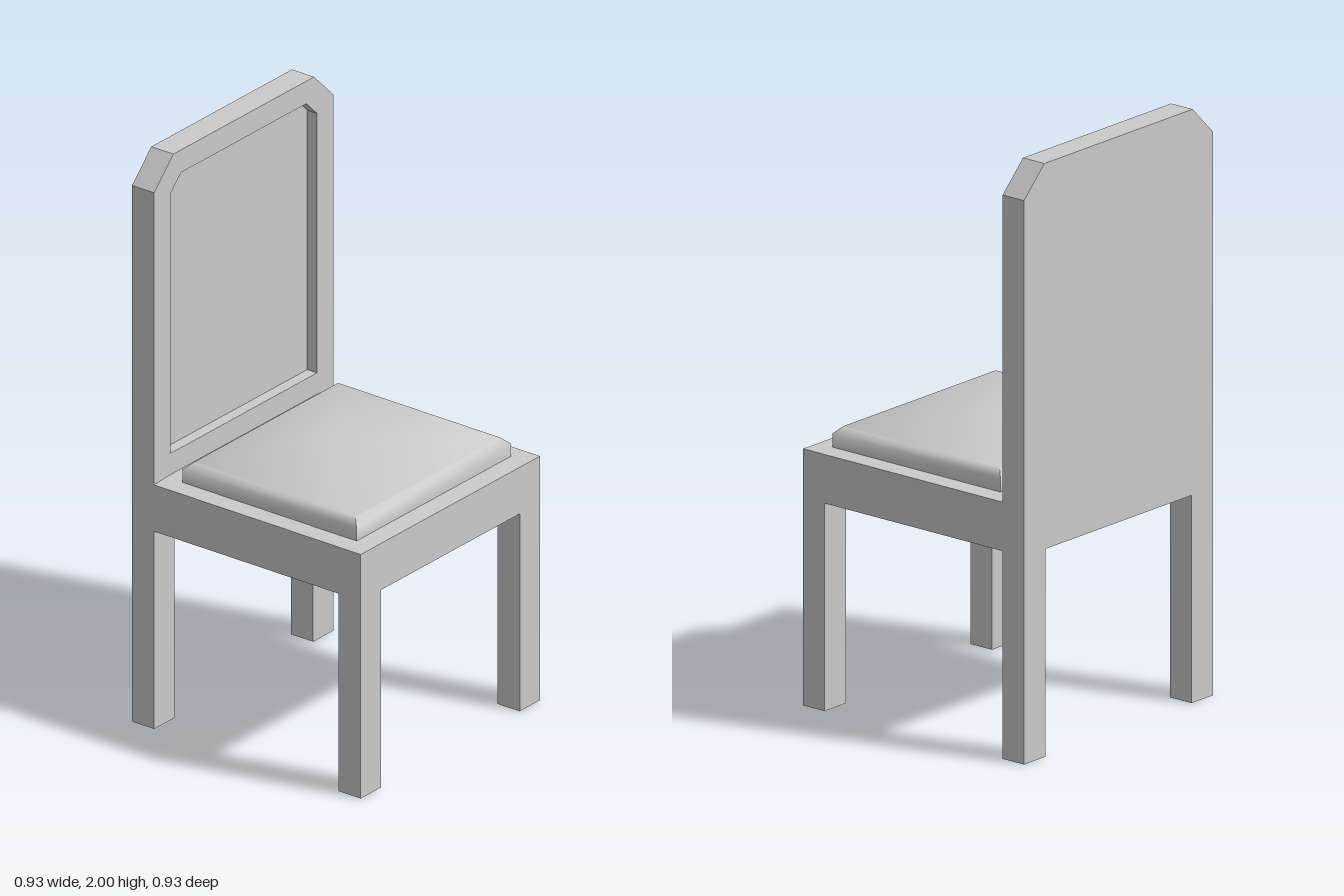
import * as THREE from 'three';
import { toCreasedNormals } from 'three/addons/utils/BufferGeometryUtils.js';

const HALF = 0.465;        // half width and half depth of the chair
const SEAT_BOTTOM = 0.70;
const SEAT_TOP = 0.865;
const BACK_FRONT = -0.375; // front plane of the backrest, which faces +x

const material = new THREE.MeshStandardMaterial({ color: 0xcccccc });

function part(name, geometry, parent) {
  const mesh = new THREE.Mesh(geometry, material);
  mesh.name = name;
  parent.add(mesh);
  return mesh;
}

// Stacked rectangles [y, xMin, xMax, halfDepth], closed below and peaked above.
function peakedBlock(layers, apexY) {
  const points = [];
  const index = [0, 3, 2, 0, 2, 1];
  for (const [y, x0, x1, z] of layers) {
    points.push(x0, y, z, x1, y, z, x1, y, -z, x0, y, -z);
  }
  const apex = layers.length * 4;
  points.push(0, apexY, 0);
  for (let l = 0; l < layers.length; l++) {
    for (let i = 0; i < 4; i++) {
      const a = l * 4 + i;
      const b = l * 4 + ((i + 1) % 4);
      if (l === layers.length - 1) index.push(a, b, apex);
      else index.push(a, b, b + 4, a, b + 4, a + 4);
    }
  }
  const geometry = new THREE.BufferGeometry();
  geometry.setAttribute('position', new THREE.Float32BufferAttribute(points, 3));
  geometry.setIndex(index);
  return toCreasedNormals(geometry, 0.9);
}

// Rectangle with its two upper corners cut off.
function cutCornerPoints(half, bottom, top, cut) {
  return [
    [-half, bottom], [half, bottom], [half, top - cut],
    [half - cut, top], [-half + cut, top], [-half, top - cut],
  ].map(([x, y]) => new THREE.Vector2(x, y));
}

// Extrude a shape drawn in the z-y plane from x0 to x1.
function extrudeAlongX(shape, x0, x1) {
  const geometry = new THREE.ExtrudeGeometry(shape, { depth: x1 - x0, bevelEnabled: false });
  return geometry.rotateY(Math.PI / 2).translate(x0, 0, 0);
}

export function createModel() {
  const chair = new THREE.Group();
  chair.name = 'chair';

  // Four square legs
  const legX = 0.09, legZ = 0.105;
  for (const sx of [-1, 1]) {
    for (const sz of [-1, 1]) {
      const leg = part(sx > 0 ? 'frontLeg' : 'backLeg',
        new THREE.BoxGeometry(legX, SEAT_BOTTOM, legZ), chair);
      leg.position.set(sx * (HALF - legX / 2), SEAT_BOTTOM / 2, sz * (HALF - legZ / 2));
    }
  }

  // Seat slab with a slightly raised top
  part('seat', peakedBlock([
    [SEAT_BOTTOM, -HALF, HALF, HALF],
    [SEAT_TOP, -HALF, HALF, HALF],
  ], 0.89), chair);

  // Cushion with bevelled rim, rising to a low peak
  part('cushion', peakedBlock([
    [SEAT_TOP, -0.31, 0.397, 0.4],
    [0.915, -0.31, 0.397, 0.4],
    [0.938, -0.285, 0.373, 0.375],
  ], 0.98), chair);

  // Backrest: solid rear panel and a frame around the recess
  const back = new THREE.Group();
  back.name = 'backrest';
  chair.add(back);
  const recessFloor = BACK_FRONT - 0.04;
  const outline = cutCornerPoints(HALF, SEAT_TOP, 2, 0.1);
  part('backPanel', extrudeAlongX(new THREE.Shape(outline), -HALF, recessFloor), back);
  const frame = new THREE.Shape(outline);
  frame.holes.push(new THREE.Path(cutCornerPoints(0.38, 0.945, 1.92, 0.055)));
  part('backFrame', extrudeAlongX(frame, recessFloor, BACK_FRONT), back);

  return chair;
}
